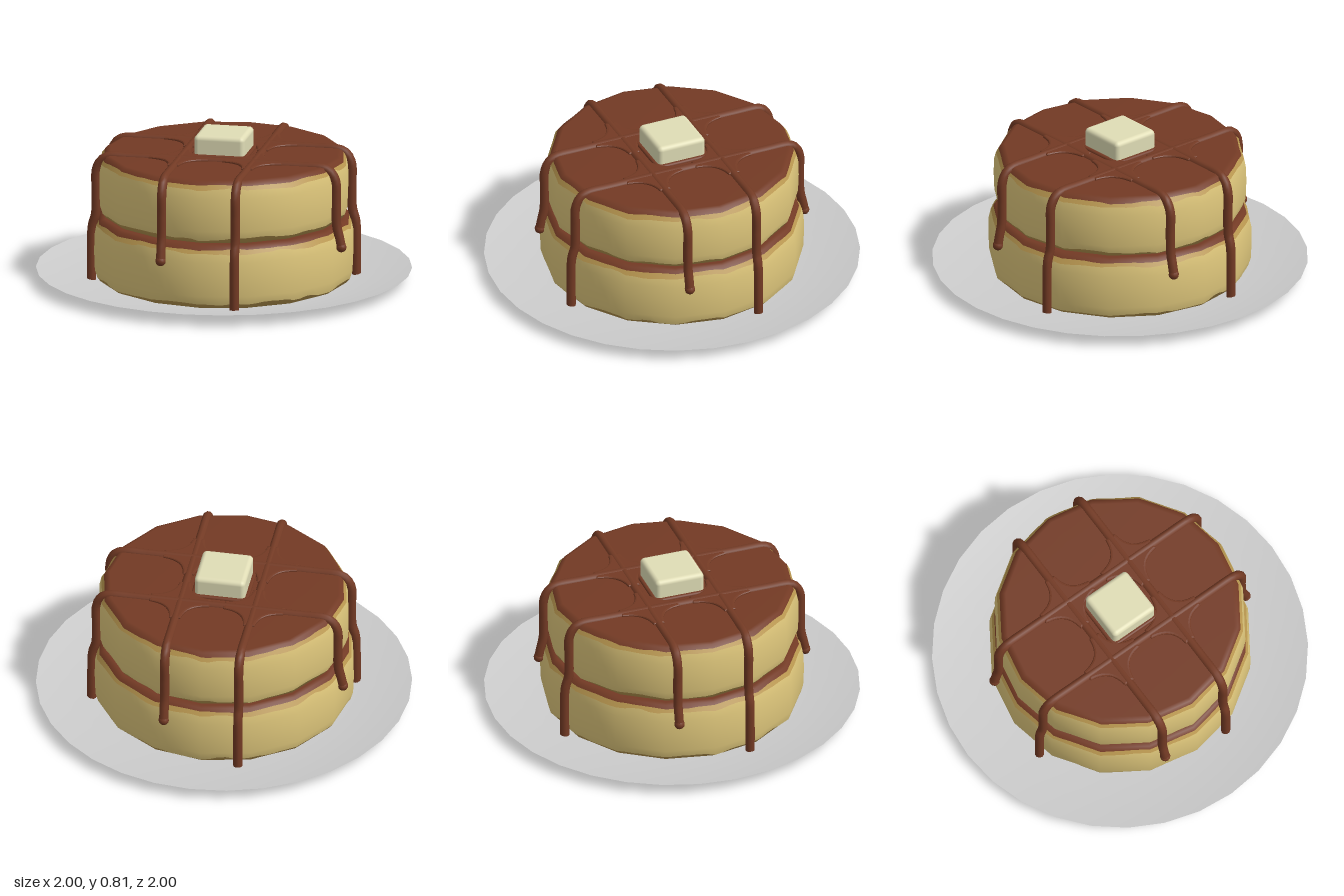
import * as THREE from 'three';
import { RoundedBoxGeometry } from 'three/addons/geometries/RoundedBoxGeometry.js';

const mat = (name, color, side = THREE.FrontSide) => {
  const m = new THREE.MeshStandardMaterial({ color, side });
  m.name = name;
  return m;
};

const SIDES = 16, SEGMENTS = 96;

// Repeatable ragged value in -1..1 for each column and seed
function ragged(i, seed) {
  const n = i % SEGMENTS;
  const h = Math.sin((Math.floor(n / 2) + 1) * 12.9898 + seed * 78.233) * 43758.5453;
  return 0.6 * (2 * (h - Math.floor(h)) - 1) + 0.4 * Math.sin((n / SEGMENTS) * Math.PI * 14 + seed);
}

// Lathe band squeezed onto a 16-sided outline; a point is [radius, y, raggedness, seed]
function bandGeometry(profile) {
  const geo = new THREE.LatheGeometry(profile.map(([r, y]) => new THREE.Vector2(r, y)), SEGMENTS);
  const pos = geo.attributes.position;
  const step = (Math.PI * 2) / SIDES;
  for (let i = 0; i <= SEGMENTS; i++) {
    const a = ((i / SEGMENTS) * Math.PI * 2) % step;
    const k = Math.cos(step / 2) / Math.cos(a - step / 2);
    profile.forEach(([, , amount = 0, seed = 0], j) => {
      const v = i * profile.length + j;
      pos.setXYZ(v, pos.getX(v) * k, pos.getY(v) + amount * ragged(i, seed), pos.getZ(v) * k);
    });
  }
  return geo;
}

function addMesh(parent, name, geo, material) {
  const m = new THREE.Mesh(geo, material);
  m.name = name;
  parent.add(m);
  return m;
}

// One pancake: browned base, golden side, browned rim and syrup top
function pancake(name, R, y0, y1, seed, mats) {
  const g = new THREE.Group();
  g.name = name;
  const low = [R - 0.018, y0 + 0.03, 0.009, seed];
  const high = [R - 0.012, y1 - 0.042, 0.011, seed + 1];
  const edge = [R - 0.026, y1 - 0.022, 0.007, seed + 2];
  addMesh(g, 'brownedBase', bandGeometry([[0, y0], [R - 0.06, y0], [R - 0.035, y0 + 0.01], low]), mats.browned);
  addMesh(g, 'goldenSide', bandGeometry([low, [R - 0.004, y0 + 0.075], [R, (y0 + y1) / 2],
    [R - 0.002, y1 - 0.09], high]), mats.golden);
  addMesh(g, 'brownedRim', bandGeometry([high, edge]), mats.browned);
  addMesh(g, 'syrupTop', bandGeometry([edge, [R - 0.04, y1 - 0.006], [R - 0.06, y1], [0, y1]]), mats.syrup);
  return g;
}

// Syrup strand over the stack: long drip in front, short drip at the back
function strand(mats) {
  const g = new THREE.Group();
  g.name = 'syrupStrand';
  const path = [[0.01, 0.677], [0.18, 0.677], [0.31, 0.672], [0.37, 0.655], [0.5, 0.652], [0.62, 0.65],
    [0.672, 0.622], [0.69, 0.585], [0.692, 0.45], [0.692, 0.2], [0.692, -0.2], [0.692, -0.45],
    [0.69, -0.585], [0.672, -0.622], [0.62, -0.65], [0.5, -0.652], [0.38, -0.655], [0.32, -0.668], [0.262, -0.68]]
    .map(([y, z]) => new THREE.Vector3(0.2, y, z));
  const curve = new THREE.CatmullRomCurve3(path, false, 'centripetal');
  addMesh(g, 'strandTube', new THREE.TubeGeometry(curve, 90, 0.025, 10), mats.syrup);
  const tip = addMesh(g, 'dripTip', new THREE.SphereGeometry(0.028, 12, 8), mats.syrup);
  tip.position.copy(path[path.length - 1]);

  // Pool where two strands cross, with concave corners
  const s = new THREE.Shape();
  const w = 0.02, reach = 0.15;
  s.moveTo(reach, w);
  s.quadraticCurveTo(0.035, 0.035, w, reach);
  s.lineTo(-w, reach);
  s.quadraticCurveTo(-0.035, 0.035, -reach, w);
  s.lineTo(-reach, -w);
  s.quadraticCurveTo(-0.035, -0.035, -w, -reach);
  s.lineTo(w, -reach);
  s.quadraticCurveTo(0.035, -0.035, reach, -w);
  const pool = addMesh(g, 'crossingPool', new THREE.ExtrudeGeometry(s, {
    depth: 0.012, bevelEnabled: true, bevelSize: 0.012, bevelThickness: 0.006, bevelSegments: 2, curveSegments: 8,
  }), mats.syrup);
  pool.rotation.x = -Math.PI / 2;
  pool.position.set(0.2, 0.694, 0.2);
  return g;
}

export function createModel() {
  const mats = {
    plate: mat('plateGrey', 0xcccccc, THREE.DoubleSide),
    golden: mat('goldenCake', 0xe0c87c),
    browned: mat('brownedCake', 0xb8964f),
    syrup: mat('chocolateSyrup', 0x733a24),
    butter: mat('butterCream', 0xe0ddb6),
  };
  const model = new THREE.Group();
  model.name = 'pancakeStack';

  // Shallow thin plate
  const dish = [[0, 0], [0.64, 0], [1, 0.063]].map(([r, y]) => new THREE.Vector2(r, y));
  addMesh(model, 'plate', new THREE.LatheGeometry(dish, 32), mats.plate);

  model.add(pancake('lowerPancake', 0.702, 0.006, 0.356, 3, mats));
  model.add(pancake('upperPancake', 0.674, 0.356, 0.7, 11, mats));

  // Four strands in a criss-cross
  for (let i = 0; i < 4; i++) {
    const s = strand(mats);
    s.rotation.y = (i * Math.PI) / 2;
    model.add(s);
  }

  // Syrup gathered around the butter
  const skirt = addMesh(model, 'butterSkirt', new RoundedBoxGeometry(0.31, 0.03, 0.31, 2, 0.012), mats.syrup);
  skirt.position.y = 0.697;

  const butter = addMesh(model, 'butterPat', new RoundedBoxGeometry(0.274, 0.13, 0.274, 3, 0.025), mats.butter);
  butter.position.y = 0.747;
  return model;
}
